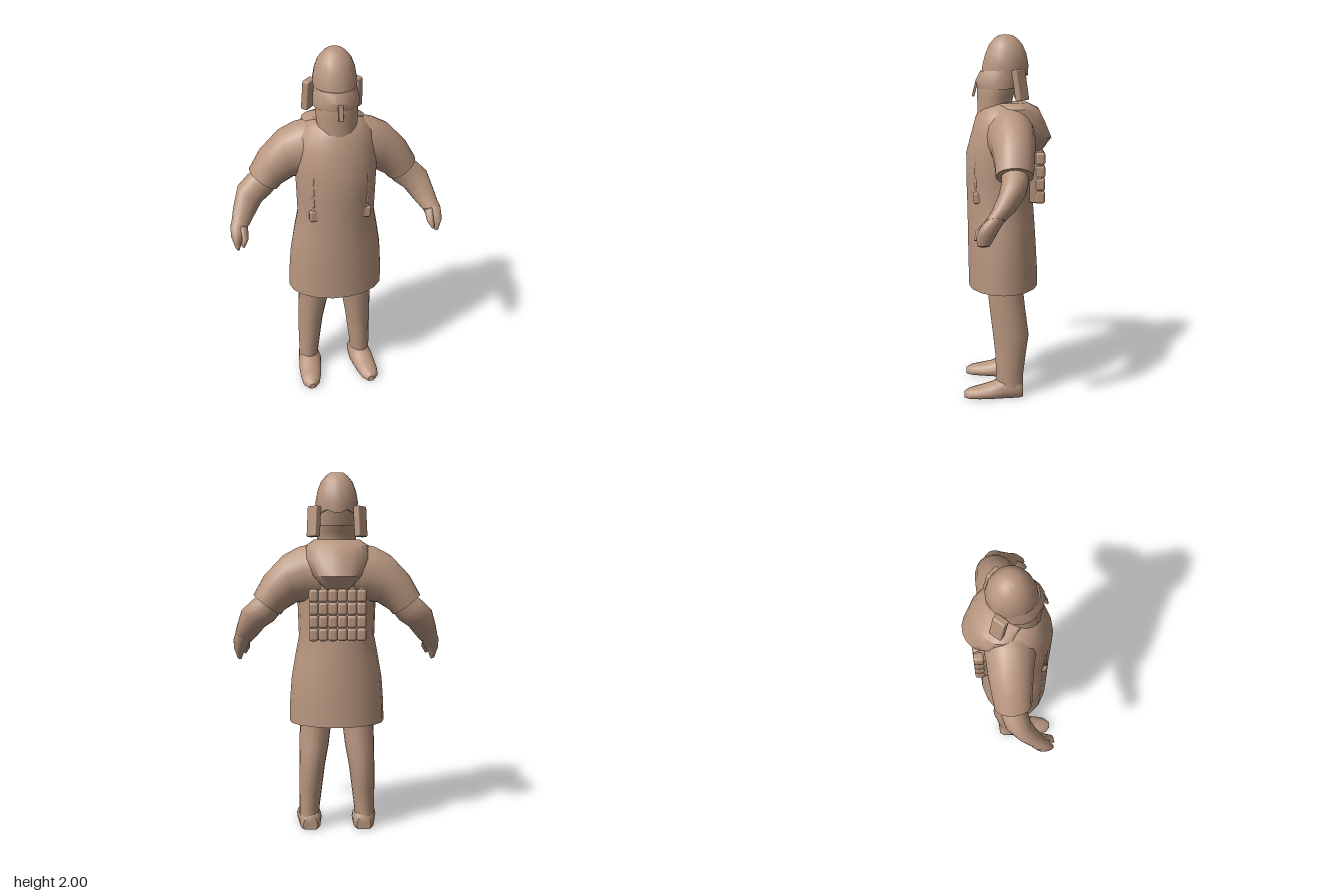
import * as THREE from 'three';
import { toCreasedNormals } from 'three/addons/utils/BufferGeometryUtils.js';
import { RoundedBoxGeometry } from 'three/addons/geometries/RoundedBoxGeometry.js';

const cloth = new THREE.MeshStandardMaterial({ color: 0xb8967f, side: THREE.DoubleSide });
cloth.name = 'tan cloth';
const V = (x, y, z) => new THREE.Vector3(x, y, z);

// One cross-section: an ellipse around c with half-axes u and v, kept above the ground
const ring = (c, u, v, wave = 0, n = 18) => Array.from({ length: n }, (_, i) => {
  const t = (i / n) * Math.PI * 2;
  const p = c.clone().addScaledVector(u, Math.cos(t)).addScaledVector(v, Math.sin(t));
  p.y = Math.max(0, p.y + wave * Math.cos(t * 6));
  return p;
});
// Horizontal section from height, centre x, half-width, front z and back z
const level = (y, cx, rx, front, back, wave = 0) =>
  ring(V(cx, y, (front + back) / 2), V(rx, 0, 0), V(0, 0, (front - back) / 2), wave);

// Skin joining a list of sections, with optional end caps
function loft(name, rings, capStart = true, capEnd = true) {
  const n = rings[0].length, pos = [], idx = [];
  const mid = r => r.reduce((a, p) => a.add(p), V(0, 0, 0)).divideScalar(n);
  rings.forEach(r => r.forEach(p => pos.push(p.x, p.y, p.z)));
  const first = mid(rings[0]), last = mid(rings[rings.length - 1]);
  const a = rings[0][0].clone().sub(first), b = rings[0][Math.floor(n / 4)].clone().sub(first);
  const outward = a.cross(b).dot(mid(rings[1]).sub(first)) > 0;
  const tri = (i, j, k) => idx.push(...(outward ? [i, j, k] : [i, k, j]));
  for (let r = 0; r < rings.length - 1; r++) {
    for (let i = 0; i < n; i++) {
      const p = r * n + i, q = r * n + (i + 1) % n;
      tri(p, q, q + n);
      tri(p, q + n, p + n);
    }
  }
  const cap = (start, c, flip) => {
    const m = pos.length / 3;
    pos.push(c.x, c.y, c.z);
    for (let i = 0; i < n; i++) {
      const p = start + i, q = start + (i + 1) % n;
      if (flip) tri(m, q, p); else tri(m, p, q);
    }
  };
  if (capStart) cap(0, first, true);
  if (capEnd) cap((rings.length - 1) * n, last, false);
  const g = new THREE.BufferGeometry();
  g.setAttribute('position', new THREE.Float32BufferAttribute(pos, 3));
  g.setIndex(idx);
  return named(name, toCreasedNormals(g, 0.75));
}
function named(name, geometry) {
  const m = new THREE.Mesh(geometry, cloth);
  m.name = name;
  return m;
}
function pad(name, w, h, d, x, y, z, r = 0.012) {
  const m = named(name, new RoundedBoxGeometry(w, h, d, 2, r));
  m.position.set(x, y, z);
  return m;
}

function arm(s) {
  const g = new THREE.Group();
  g.name = s > 0 ? 'leftArm' : 'rightArm';
  // Sections given as [x, y, z, half-axis x, half-axis y, half depth]
  const tube = (name, rows) => loft(name, rows.map(([x, y, z, ux, uy, d]) =>
    ring(V(s * x, y, z), V(s * ux, uy, 0), V(0, 0, d))));
  g.add(
    tube('sleeve', [
      [0.10, 1.46, -0.01, 0.02, 0.16, 0.14],
      [0.18, 1.45, -0.015, 0.03, 0.15, 0.13],
      [0.26, 1.425, -0.025, 0.035, 0.13, 0.118],
      [0.345, 1.35, -0.03, 0.055, 0.095, 0.105],
      [0.385, 1.285, -0.03, 0.075, 0.055, 0.098],
    ]),
    tube('forearm', [
      [0.33, 1.33, -0.03, 0.05, 0.05, 0.07],
      [0.41, 1.25, -0.03, 0.062, 0.055, 0.07],
      [0.465, 1.205, -0.015, 0.064, 0.046, 0.068],
      [0.505, 1.13, 0.03, 0.055, 0.03, 0.058],
      [0.53, 1.085, 0.07, 0.045, 0.022, 0.05],
    ]),
    tube('hand', [
      [0.525, 1.10, 0.06, 0.044, 0.02, 0.044],
      [0.545, 1.055, 0.095, 0.042, 0.02, 0.05],
      [0.56, 1.01, 0.12, 0.028, 0.015, 0.048],
      [0.558, 0.96, 0.13, 0.012, 0.005, 0.03],
    ]),
    tube('thumb', [
      [0.515, 1.08, 0.10, 0.022, 0.01, 0.025],
      [0.515, 1.03, 0.15, 0.018, 0.01, 0.02],
      [0.53, 0.985, 0.168, 0.008, 0.004, 0.01],
    ]),
  );
  return g;
}

function leg(s) {
  const g = new THREE.Group();
  g.name = s > 0 ? 'leftLeg' : 'rightLeg';
  // Trousers: height, centre x, half-width, front z, back z
  g.add(loft('trouserLeg', [
    [0.04, 0.16, 0.056, 0.06, -0.085], [0.12, 0.157, 0.058, 0.068, -0.085],
    [0.24, 0.15, 0.066, 0.072, -0.1], [0.36, 0.142, 0.073, 0.085, -0.117],
    [0.48, 0.13, 0.083, 0.1, -0.1], [0.62, 0.12, 0.09, 0.115, -0.085],
    [0.8, 0.115, 0.092, 0.12, -0.08],
  ].map(([y, x, r, f, b]) => level(y, s * x, r, f, b))));
  // Boot: z, centre x, half-width, height
  g.add(loft('boot', [
    [-0.085, 0.152, 0.04, 0.08], [-0.06, 0.153, 0.06, 0.11], [0.03, 0.156, 0.068, 0.115],
    [0.09, 0.165, 0.066, 0.08], [0.16, 0.173, 0.06, 0.062], [0.215, 0.178, 0.048, 0.05],
    [0.245, 0.178, 0.018, 0.035],
  ].map(([z, x, w, h]) => ring(V(s * x, h * 0.35, z), V(w, 0, 0), V(0, h * 0.65, 0)))));
  return g;
}

export function createModel() {
  const model = new THREE.Group();
  model.name = 'figure';

  // Long tunic, open at the hem
  model.add(loft('tunic', [
    [0.615, 0.268, 0.22, -0.17], [0.72, 0.266, 0.222, -0.168], [0.86, 0.256, 0.224, -0.16],
    [0.98, 0.236, 0.225, -0.152], [1.1, 0.213, 0.227, -0.143], [1.22, 0.217, 0.23, -0.138],
    [1.37, 0.222, 0.23, -0.14], [1.48, 0.22, 0.2, -0.145], [1.56, 0.2, 0.178, -0.14],
    [1.61, 0.155, 0.15, -0.12], [1.635, 0.11, 0.12, -0.09],
  ].map(([y, r, f, b]) => level(y, 0, r, f, b)), false));

  // Folded hood hanging down the back
  model.add(loft('hood', [
    [1.35, 0.03, -0.1, -0.155], [1.39, 0.08, -0.05, -0.2], [1.45, 0.135, 0, -0.243],
    [1.54, 0.175, 0.03, -0.205], [1.61, 0.17, 0.07, -0.17], [1.64, 0.125, 0.09, -0.11],
  ].map(([y, r, f, b]) => level(y, 0, r, f, b))));

  // Covered face and neck
  model.add(loft('face', [
    [1.53, 0.105, 0.17, -0.03], [1.62, 0.107, 0.165, -0.02], [1.68, 0.111, 0.168, -0.035],
    [1.75, 0.114, 0.165, -0.085], [1.83, 0.108, 0.135, -0.1],
  ].map(([y, r, f, b]) => level(y, 0, r, f, b))));
  model.add(loft('browBand', [
    [1.715, 0.121, 0.166, -0.075], [1.76, 0.122, 0.176, -0.09], [1.81, 0.112, 0.15, -0.1],
  ].map(([y, r, f, b]) => level(y, 0, r, f, b))));
  const nose = pad('noseGuard', 0.026, 0.085, 0.014, 0, 1.713, 0.178, 0.004);
  nose.rotation.x = -0.25;
  model.add(nose);

  // Egg-shaped helmet with a wavy lower edge
  model.add(loft('helmet', [
    [1.79, 0.112, 0.145, -0.112, 0.01], [1.84, 0.117, 0.138, -0.115],
    [1.9, 0.106, 0.122, -0.104], [1.95, 0.087, 0.1, -0.082],
    [1.985, 0.058, 0.07, -0.05], [2.0, 0.036, 0.046, -0.026],
  ].map(([y, r, f, b, w]) => level(y, 0, r, f, b, w))));

  for (const s of [1, -1]) {
    model.add(arm(s), leg(s));

    // Angled pads beside the helmet
    const flap = pad('earFlap', 0.04, 0.165, 0.072, s * 0.126, 1.737, -0.066, 0.008);
    flap.rotation.set(0.1, s * 0.75, s * 0.06);
    model.add(flap);

    // Chest strips and pouches
    for (let i = 0; i < 4; i++) {
      model.add(pad('chestLoop', 0.034, 0.062, 0.05, s * 0.14, 1.345 - i * 0.066, 0.157));
    }
    model.add(pad('chestPouch', 0.066, 0.065, 0.055, s * 0.135, 1.135, 0.16));
  }

  // Quilted panel of small pads on the back
  const panel = new THREE.Group();
  panel.name = 'backPanel';
  for (let r = 0; r < 4; r++) {
    for (let c = 0; c < 6; c++) {
      panel.add(pad('backPad', 0.052, 0.071, 0.056, (c - 2.5) * 0.0515, 1.135 + r * 0.07, -0.174, 0.016));
    }
  }
  panel.add(pad('panelBase', 0.3, 0.27, 0.07, 0, 1.24, -0.15, 0.005));
  model.add(panel);
  return model;
}
